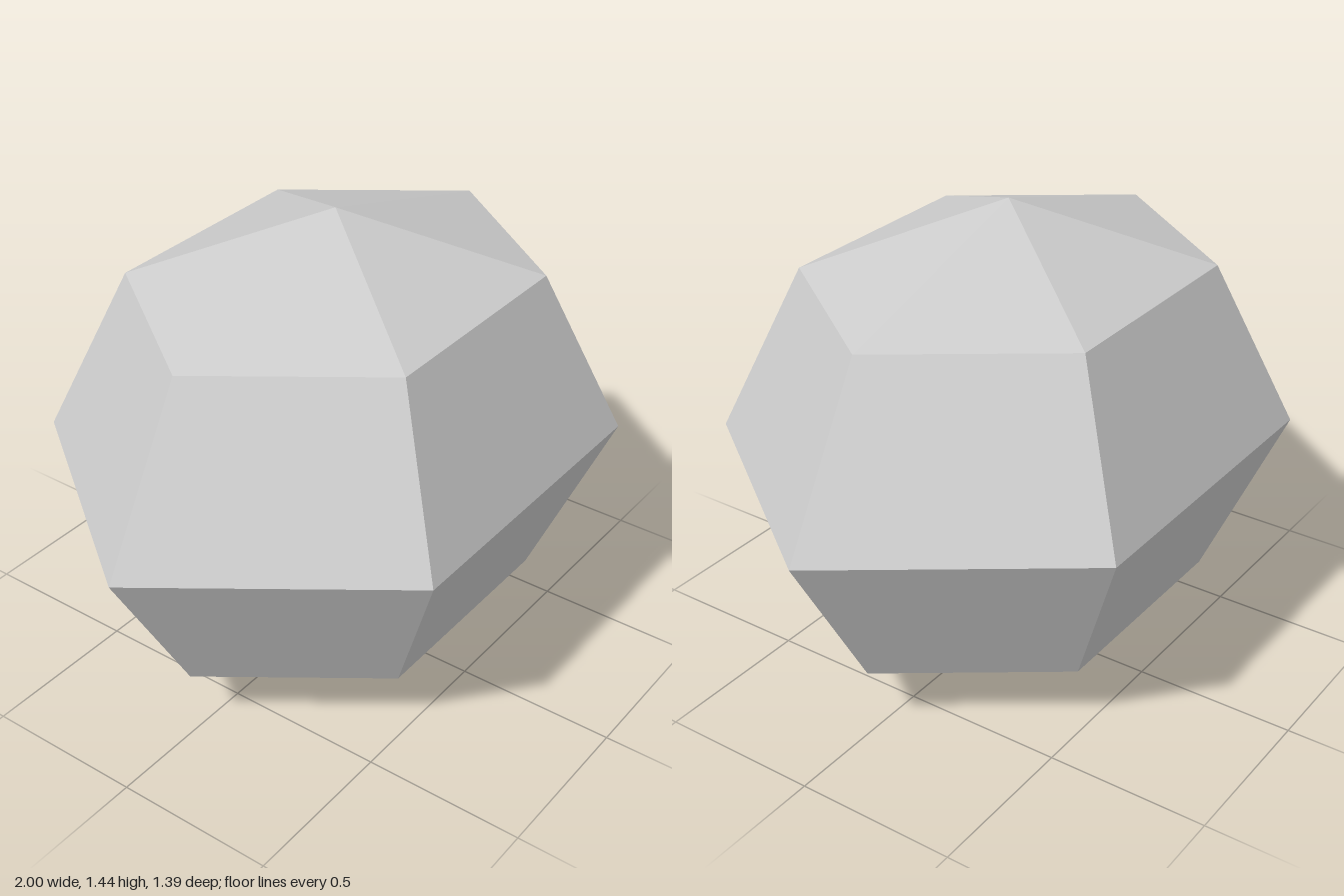
import * as THREE from 'three';

// Faceted gem-like stone: six sides around, four bands high, squashed to an ellipsoid
export function createModel() {
  const stoneGrey = new THREE.MeshStandardMaterial({ color: 0xcccccc, flatShading: true });
  stoneGrey.name = 'stoneGrey';

  const halfHeight = 0.72;
  const geometry = new THREE.SphereGeometry(1, 6, 4);
  geometry.scale(1, halfHeight, 0.8);
  geometry.translate(0, halfHeight, 0);

  const stone = new THREE.Mesh(geometry, stoneGrey);
  stone.name = 'facetedStone';

  const model = new THREE.Group();
  model.name = 'stone';
  model.add(stone);
  return model;
}
